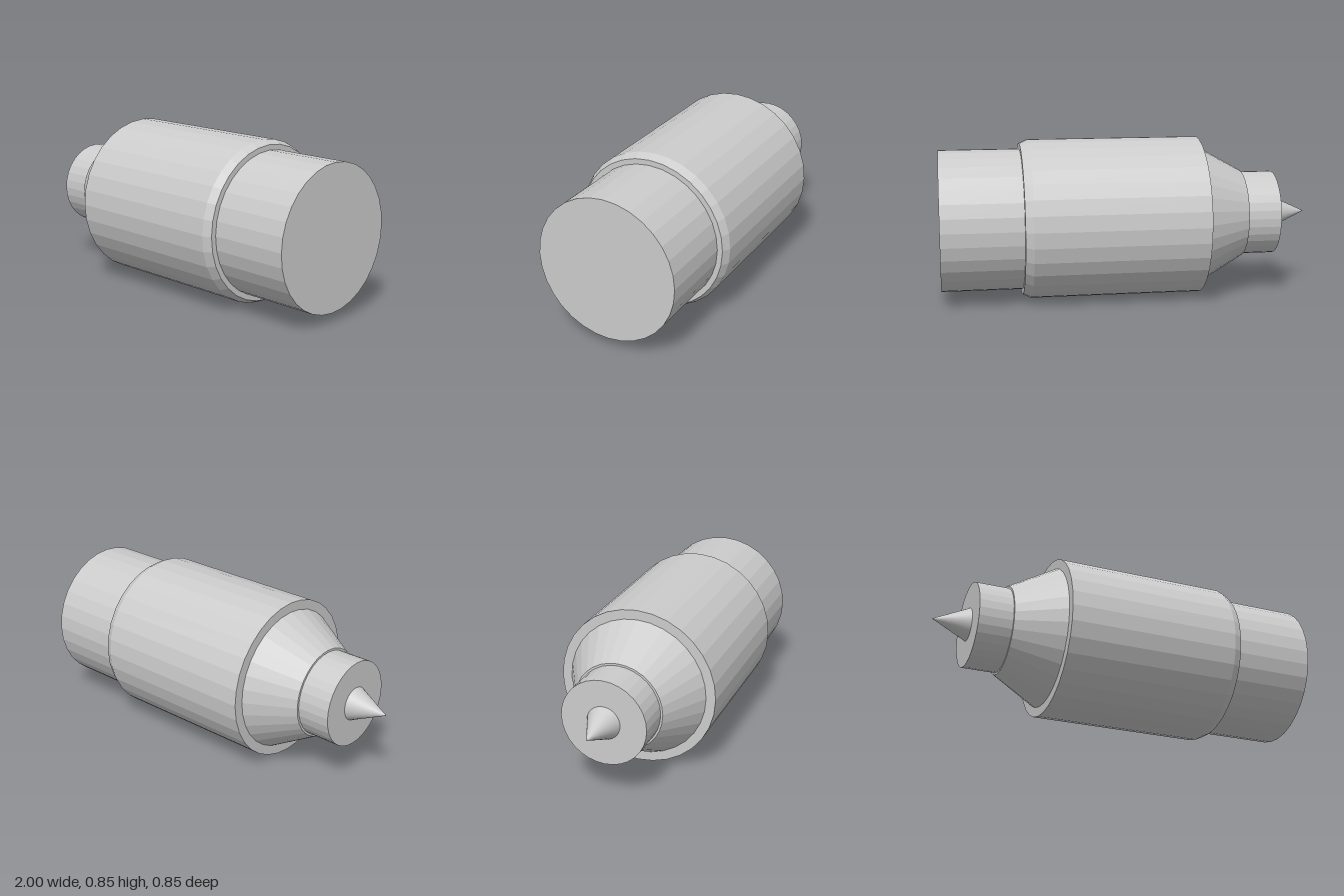
import * as THREE from 'three';

const SIDES = 32;

export function createModel() {
  const model = new THREE.Group();
  const faceted = new THREE.MeshStandardMaterial({ color: 0xcccccc, flatShading: true });
  const smooth = new THREE.MeshStandardMaterial({ color: 0xcccccc });

  // Turned part: profile points are [position along the axis, radius]
  function turned(name, profile, material = faceted) {
    const points = profile.map(([along, radius]) => new THREE.Vector2(radius, along));
    const mesh = new THREE.Mesh(new THREE.LatheGeometry(points, SIDES), material);
    mesh.name = name;
    mesh.rotation.z = -Math.PI / 2;
    mesh.position.y = 0.427;
    model.add(mesh);
  }

  // Pointed tip
  turned('tip', [[-1, 0], [-0.81, 0.088]], smooth);

  // Narrow collar with a flat front face around the tip
  turned('collar', [[-0.81, 0], [-0.81, 0.226], [-0.63, 0.226]]);

  // Tapered shoulder with a small step at the collar
  turned('shoulder', [[-0.63, 0.226], [-0.63, 0.237], [-0.385, 0.374]]);

  // Main barrel: front rim, straight wall, rear chamfer and rear rim
  turned('barrel', [[-0.385, 0.374], [-0.385, 0.425], [0.53, 0.425], [0.573, 0.404], [0.573, 0.376]]);

  // Plain rear shank, closed at the end
  turned('shank', [[0.573, 0.376], [1, 0.376], [1, 0]]);

  return model;
}
